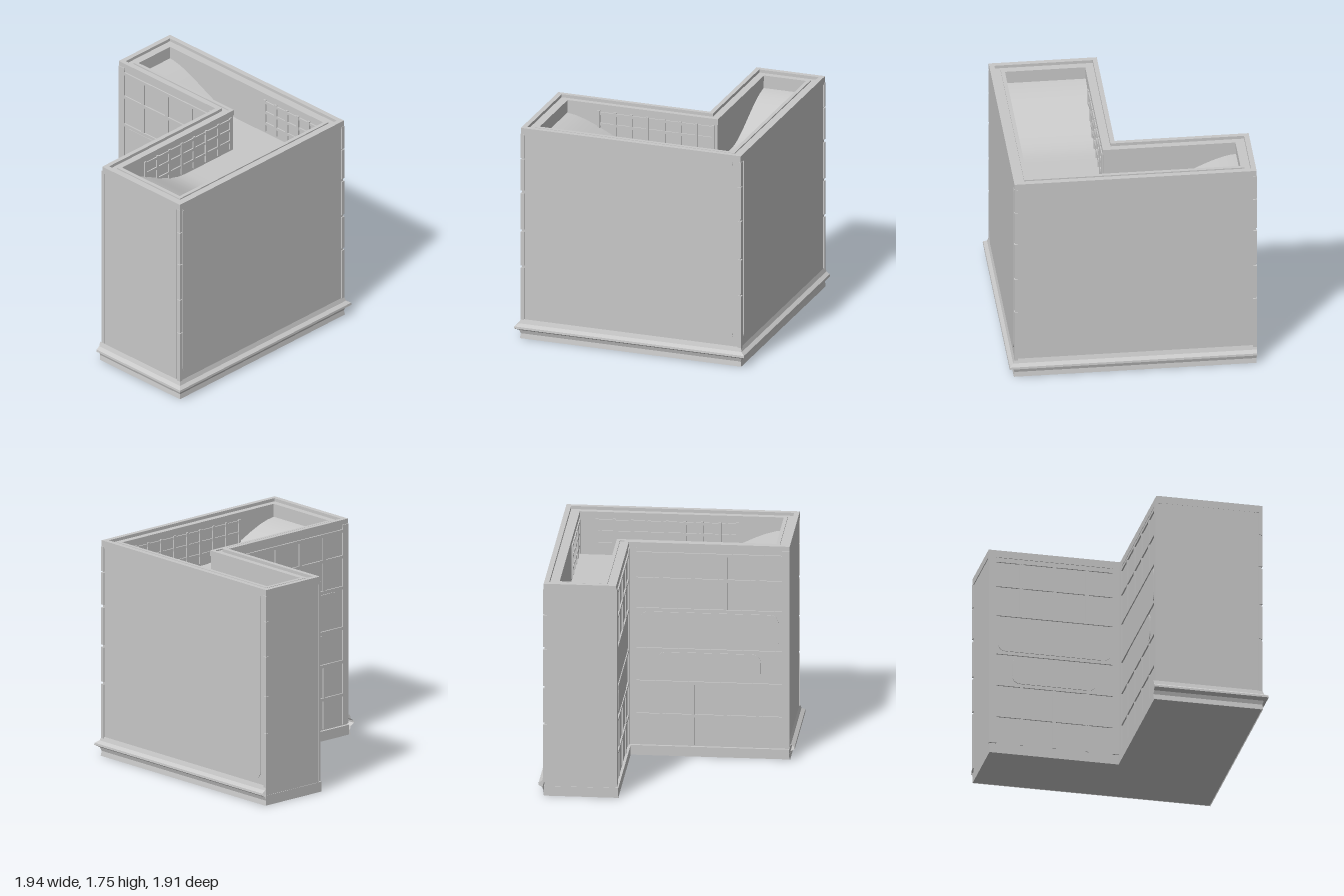
import * as THREE from 'three';

const material = new THREE.MeshStandardMaterial({ color: 0xc8c8c8, side: THREE.DoubleSide });
material.name = 'pale grey';

// L-shaped outline, inset by i; the courtyard edges can be pushed out by ledge; shape y is -z
function outline(i, ledge = 0) {
  const nx = 0.102 + i * 0.9 - ledge, nz = -0.332 - i * 0.9 + ledge;
  return [[-0.95 + i, -0.9 + i], [0.95 - i, -0.9 + i], [0.95 - i, 0.928 - i],
    [nx, 0.928 - i], [nx, nz], [-0.95 + i, nz]]
    .map(([x, z]) => new THREE.Vector2(x, -z));
}

function ring(inset, holeInset, y0, y1, ledge = 0) {
  const shape = new THREE.Shape(outline(inset, ledge));
  if (holeInset) shape.holes.push(new THREE.Path(outline(holeInset)));
  const g = new THREE.ExtrudeGeometry(shape, { depth: y1 - y0, bevelEnabled: false });
  return g.rotateX(-Math.PI / 2).translate(0, y0, 0);
}

// rounded plate facing +z, centred on its back face
function plate(w, h, r, depth) {
  const s = new THREE.Shape(), a = w / 2, b = h / 2;
  s.moveTo(-a + r, -b).lineTo(a - r, -b).quadraticCurveTo(a, -b, a, -b + r)
    .lineTo(a, b - r).quadraticCurveTo(a, b, a - r, b)
    .lineTo(-a + r, b).quadraticCurveTo(-a, b, -a, b - r)
    .lineTo(-a, -b + r).quadraticCurveTo(-a, -b, -a + r, -b);
  return new THREE.ExtrudeGeometry(s, { depth, bevelEnabled: false, curveSegments: 6 });
}

// flared skirt swept along the back, the left side and the front end
function skirtGeometry() {
  const path = [[-0.95, -0.9, 0, -1], [0.95, -0.9, 1, -1], [0.95, 0.928, 1, 1], [0.08, 0.928, 0, 1]];
  const profile = [[0, 0.16], [0.012, 0.125], [0.04, 0.105], [0.042, 0.088], [0.01, 0.07], [0, 0.04], [0.006, 0]];
  const pos = [], index = [], n = profile.length;
  for (const [x, z, dx, dz] of path) {
    for (const [o, y] of profile) pos.push(x + dx * o, y, z + dz * o);
  }
  for (let i = 0; i < path.length - 1; i++) {
    for (let j = 0; j < n - 1; j++) {
      const a = i * n + j, b = a + n;
      index.push(a, b, a + 1, b, b + 1, a + 1);
    }
  }
  let g = new THREE.BufferGeometry();
  g.setAttribute('position', new THREE.Float32BufferAttribute(pos, 3));
  g.setIndex(index);
  g = g.toNonIndexed();
  g.computeVertexNormals();
  return g;
}

// sunken floor that rises gently towards the two ends
function floorGeometry(x0, x1, z0, z1) {
  const g = new THREE.PlaneGeometry(x1 - x0, z1 - z0, 20, 20);
  g.rotateX(-Math.PI / 2).translate((x0 + x1) / 2, 0, (z0 + z1) / 2);
  const p = g.attributes.position;
  for (let i = 0; i < p.count; i++) {
    const x = p.getX(i), z = p.getZ(i);
    const rise = THREE.MathUtils.smoothstep(z, 0.1, 0.85) + THREE.MathUtils.smoothstep(-x, 0.1, 0.87);
    p.setY(i, 1.38 + 0.25 * rise);
  }
  g.computeVertexNormals();
  return g;
}

export function createModel() {
  const model = new THREE.Group();
  model.name = 'cornerBuilding';
  const add = (name, geometry, parent = model) => {
    const m = new THREE.Mesh(geometry, material);
    m.name = name;
    parent.add(m);
    return m;
  };
  const box = (name, w, h, d, x, y, z, parent) =>
    add(name, new THREE.BoxGeometry(w, h, d), parent).position.set(x, y, z);

  // main shell
  add('base', ring(0.002, 0, 0, 0.08, 0.018));
  add('walls', ring(0.006, 0.11, 0.08, 1.725));
  add('outerRim', ring(0, 0.04, 1.69, 1.75));
  add('innerRim', ring(0.085, 0.115, 1.69, 1.735));
  add('skirt', skirtGeometry());
  add('mainFloor', floorGeometry(0.19, 0.85, -0.8, 0.83));
  add('wingFloor', floorGeometry(-0.85, 0.19, -0.8, -0.42));

  // large smooth panels on the outer faces
  const sidePanel = add('sidePanel', plate(1.73, 1.53, 0.08, 0.008));
  sidePanel.rotation.y = Math.PI / 2;
  sidePanel.position.set(0.942, 0.965, 0.03);
  const backPanel = add('backPanel', plate(1.76, 1.53, 0.06, 0.008));
  backPanel.rotation.y = Math.PI;
  backPanel.position.set(0, 0.965, -0.892);
  add('frontPanel', plate(0.77, 1.58, 0.02, 0.006)).position.set(0.52, 0.94, 0.921);

  // stepped corner strips
  for (const [x, z] of [[0.937, 0.915], [0.937, -0.89], [-0.937, -0.89]]) {
    for (const [y, h] of [[0.35, 0.47], [0.745, 0.28], [1.055, 0.3], [1.36, 0.26], [1.6, 0.2]]) {
      box('cornerStrip', 0.03, h, 0.03, x, y, z);
    }
  }

  // ribbed facades facing the courtyard, built facing +z
  function facade(name, width) {
    const f = new THREE.Group();
    f.name = name;
    for (const y of [0.33, 0.6, 0.87, 1.2, 1.45, 1.66]) {
      box('ledge', width - 0.06, 0.025, 0.022, 0, y, 0, f);
    }
    for (const s of [-1, 1]) box('cornerPost', 0.06, 1.62, 0.024, s * (width / 2 - 0.03), 0.9, 0, f);
    const bays = Math.round(width / 0.24);
    for (let i = 1; i < bays; i++) {
      const x = -width / 2 + i * width / bays;
      box('lowerPier', 0.025, 0.5, 0.018, x, 0.34, 0, f);
      box('upperPier', 0.03, 0.46, 0.02, x, 1.43, 0, f);
    }
    add('middlePanel', plate(width * 0.86, 0.29, 0.07, 0.006), f).position.set(0, 1.035, 0);
    add('lowerPanel', plate(width * 0.64, 0.23, 0.07, 0.006), f).position.set(0, 0.735, 0);
    model.add(f);
    return f;
  }
  facade('wingFacade', 1.05).position.set(-0.425, 0, -0.337);
  const inner = facade('mainFacade', 1.26);
  inner.rotation.y = -Math.PI / 2;
  inner.position.set(0.107, 0, 0.298);

  // window grids on the inside of the walls
  function windowGrid(name, width, x, z, turn) {
    const f = new THREE.Group();
    f.name = name;
    for (const y of [1.47, 1.57, 1.66]) box('windowBar', width, 0.022, 0.02, 0, y, 0, f);
    const n = Math.round(width / 0.13);
    for (let i = 0; i <= n; i++) {
      box('windowPost', 0.022, 0.28, 0.024, -width / 2 + i * width / n, 1.54, 0, f);
    }
    f.position.set(x, 0, z);
    f.rotation.y = turn;
    model.add(f);
  }
  windowGrid('courtyardWallGrid', 0.95, 0.201, 0.08, Math.PI / 2);
  windowGrid('sideWallGrid', 1.1, 0.84, -0.1, Math.PI / 2);
  windowGrid('backWallGrid', 0.6, 0.5, -0.79, 0);

  return model;
}
